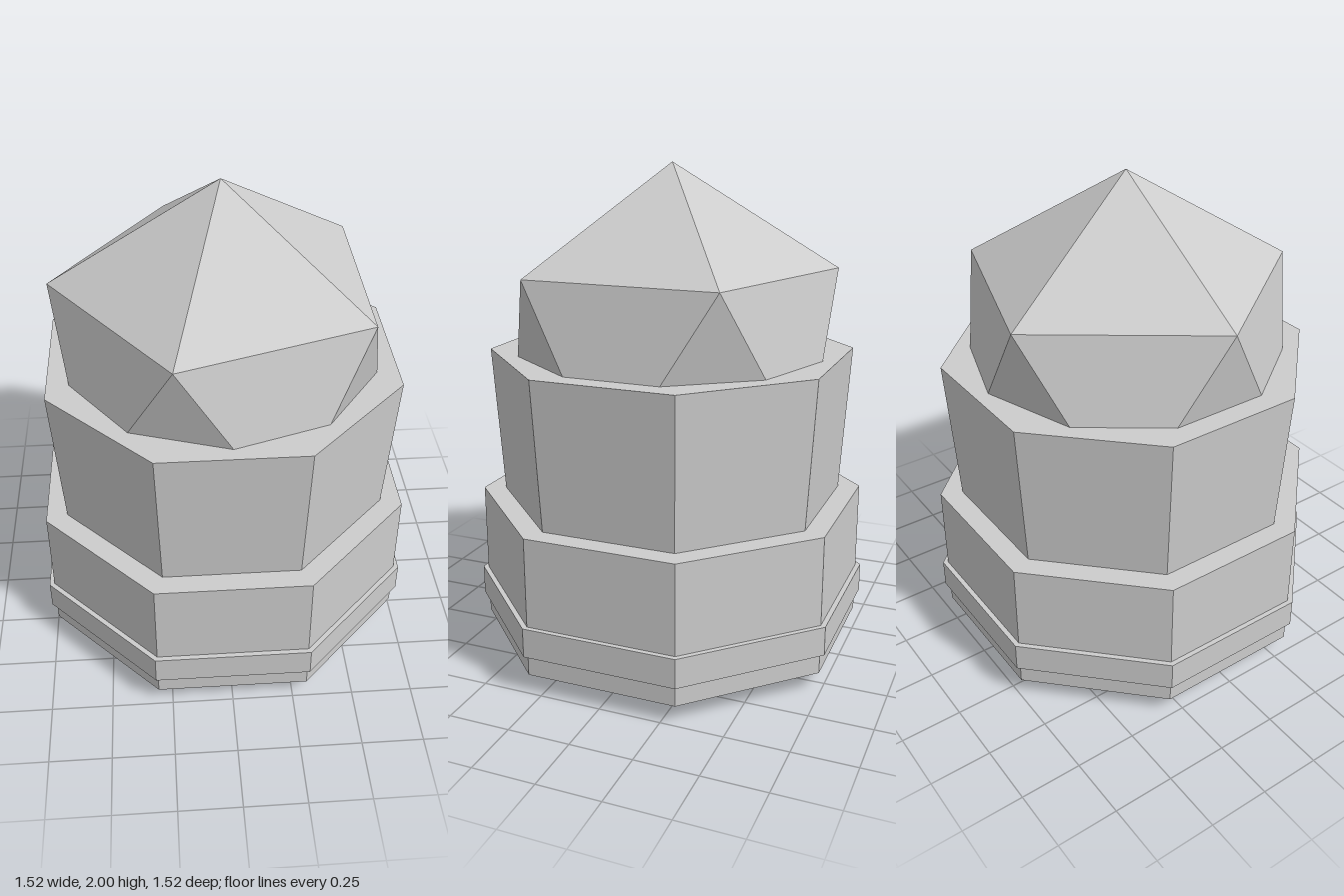
import * as THREE from 'three';

const stone = new THREE.MeshStandardMaterial({ color: 0xcccccc });
stone.name = 'plain grey';

// Octagonal drum with flat sides facing the axes; sizes are centre-to-side distances
function drum(name, y0, y1, bottom, top) {
  const k = 1 / Math.cos(Math.PI / 8);
  const geo = new THREE.CylinderGeometry(top * k, bottom * k, y1 - y0, 8)
    .rotateY(Math.PI / 8)
    .translate(0, (y0 + y1) / 2, 0)
    .toNonIndexed();
  geo.computeVertexNormals();
  const mesh = new THREE.Mesh(geo, stone);
  mesh.name = name;
  return mesh;
}

// Icosahedron standing on a vertex, with one upper corner pointing to -x
function gem(radius, centreY) {
  const h = radius / Math.sqrt(5);
  const ring = (i, y, offset) => {
    const a = Math.PI + ((i + offset) * Math.PI * 2) / 5;
    return new THREE.Vector3(2 * h * Math.cos(a), y, -2 * h * Math.sin(a));
  };
  const apex = new THREE.Vector3(0, radius, 0);
  const foot = new THREE.Vector3(0, -radius, 0);
  const points = [];
  for (let i = 0; i < 5; i++) {
    const u0 = ring(i, h, 0), u1 = ring(i + 1, h, 0);
    const l0 = ring(i, -h, 0.5), l1 = ring(i + 1, -h, 0.5);
    points.push(apex, u0, u1, u0, l0, u1, u1, l0, l1, foot, l1, l0);
  }
  const geo = new THREE.BufferGeometry().setFromPoints(points);
  geo.translate(0, centreY, 0);
  geo.computeVertexNormals();
  const mesh = new THREE.Mesh(geo, stone);
  mesh.name = 'facetedDome';
  return mesh;
}

export function createModel() {
  const model = new THREE.Group();
  model.name = 'octagonalLamp';
  model.add(
    drum('foot', 0, 0.075, 0.61, 0.61),
    drum('lowerBase', 0.075, 0.16, 0.74, 0.74),
    drum('baseBand', 0.16, 0.28, 0.76, 0.76),
    drum('upperBase', 0.28, 0.645, 0.74, 0.74),
    drum('flaredCollar', 0.645, 1.25, 0.655, 0.69),
    gem(0.745, 1.255)
  );
  return model;
}
